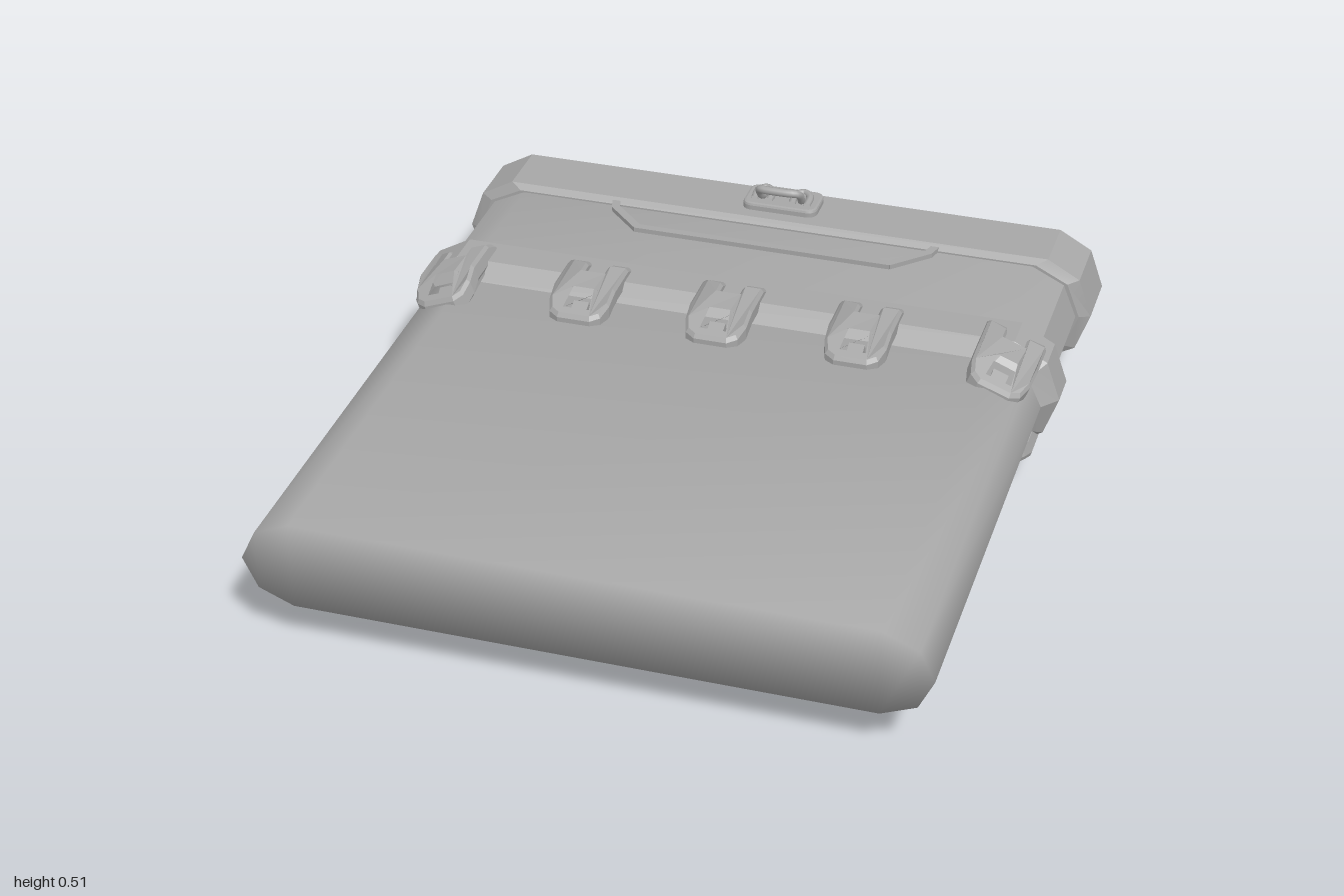
import * as THREE from 'three';
import { toCreasedNormals } from 'three/addons/utils/BufferGeometryUtils.js';

const CENTER_Y = 0.255;

// Ten-sided section with chamfered ends
function section(w, h) {
  const a = [w - 0.04, h * 0.68], b = [w - 0.135, h];
  return [[w, 0], a, b, [-b[0], h], [-a[0], a[1]], [-w, 0],
    [-a[0], -a[1]], [-b[0], -h], [b[0], -h], [a[0], -a[1]]];
}

// Closed loft through [z, halfWidth, halfHeight] stations, back to front
function loft(stations) {
  const pos = [], idx = [], n = 10, last = (stations.length - 1) * n;
  for (const [z, w, h] of stations) for (const [x, y] of section(w, h)) pos.push(x, y, z);
  for (let k = 0; k < last; k += n) {
    for (let i = 0; i < n; i++) {
      const j = (i + 1) % n;
      idx.push(k + i, k + j, k + n + j, k + i, k + n + j, k + n + i);
    }
  }
  // end faces, in strips between upper and lower edge
  const cap = (a, b, c) => idx.push(last + a, last + b, last + c, a, c, b);
  for (let u = 0; u < 5; u++) {
    const lo = (n - u) % n, lo2 = n - u - 1;
    if (u < 4) cap(u, u + 1, lo2);
    else cap(u, u + 1, lo);
    if (u > 0 && u < 4) cap(u, lo2, lo);
  }
  const g = new THREE.BufferGeometry();
  g.setAttribute('position', new THREE.Float32BufferAttribute(pos, 3));
  g.setIndex(idx);
  g.computeVertexNormals();
  return g;
}

// Forked latch plate with a window, bent down at both ends
function latchGeometry() {
  const half = [[0.037, 0.335], [0.037, 0.38], [0.037, 0.412], [0.082, 0.412], [0.082, 0.38],
    [0.082, 0.26], [0.08, 0.21], [0.068, 0.172], [0.045, 0.158]];
  const pts = [...half, ...half.map(([x, y]) => [-x, y]).reverse()].map(p => new THREE.Vector2(...p));
  const shape = new THREE.Shape(pts);
  shape.holes.push(new THREE.Path([[-0.03, 0.25], [0.03, 0.25], [0.038, 0.178], [-0.038, 0.178]]
    .map(p => new THREE.Vector2(...p))));
  const g = new THREE.ExtrudeGeometry(shape, {
    depth: 0.034, bevelThickness: 0.01, bevelSize: 0.008, bevelSegments: 1
  });
  g.rotateX(-Math.PI / 2);
  const p = g.attributes.position;
  for (let i = 0; i < p.count; i++) {
    const z = p.getZ(i);
    const drop = Math.max(0, z + 0.26) * 0.38 + Math.max(0, -0.38 - z) * 0.5;
    p.setY(i, p.getY(i) + 0.147 - drop);
  }
  g.computeVertexNormals();
  return g;
}

export function createModel() {
  const model = new THREE.Group();
  const grey = new THREE.MeshStandardMaterial({ name: 'plain grey', color: 0xa6a6a6 });
  const add = (parent, name, geometry, x = 0, y = 0, z = 0) => {
    const m = new THREE.Mesh(geometry, grey);
    m.name = name;
    m.position.set(x, y, z);
    parent.add(m);
    return m;
  };
  const tube = (points, r, tension = 0.5) => new THREE.TubeGeometry(
    new THREE.CatmullRomCurve3(points.map(p => new THREE.Vector3(...p)), false, 'catmullrom', tension),
    40, r, 8);

  // Main case and the stepped parts behind it
  const core = new THREE.Group();
  core.name = 'case';
  core.position.y = CENTER_Y;
  model.add(core);
  add(core, 'mainBody', loft([[-0.32, 0.91, 0.125], [1, 0.91, 0.125]]));
  add(core, 'neck', toCreasedNormals(loft([[-0.82, 0.91, 0.145], [-0.44, 0.91, 0.145]]), 0.7));
  add(core, 'collar', toCreasedNormals(loft([[-0.463, 0.93, 0.15], [-0.45, 0.952, 0.167],
    [-0.345, 0.952, 0.167], [-0.295, 0.91, 0.125]]), 0.3));
  add(core, 'endCap', toCreasedNormals(loft([[-1, 0.952, 0.167], [-0.818, 0.952, 0.167],
    [-0.803, 0.92, 0.15]]), 0.3));

  // Fittings, the same on the upper and lower side
  const latch = latchGeometry();
  const tongue = new THREE.BoxGeometry(0.045, 0.03, 0.045);
  const baseShape = new THREE.Shape();
  const bw = 0.105, bh = 0.055, br = 0.025;
  baseShape.moveTo(-bw + br, -bh).lineTo(bw - br, -bh).quadraticCurveTo(bw, -bh, bw, -bh + br)
    .lineTo(bw, bh - br).quadraticCurveTo(bw, bh, bw - br, bh)
    .lineTo(-bw + br, bh).quadraticCurveTo(-bw, bh, -bw, bh - br)
    .lineTo(-bw, -bh + br).quadraticCurveTo(-bw, -bh, -bw + br, -bh);
  const base = new THREE.ExtrudeGeometry(baseShape, {
    depth: 0.014, bevelThickness: 0.008, bevelSize: 0.008, bevelSegments: 2
  });
  base.rotateX(-Math.PI / 2);

  for (const side of ['upper', 'lower']) {
    const set = new THREE.Group();
    set.name = side + 'Fittings';
    set.position.y = CENTER_Y;
    if (side === 'lower') set.rotation.z = Math.PI;
    model.add(set);

    // Five latches, the outer two leaning over the chamfer
    for (const x of [-0.81, -0.4, 0, 0.4, 0.81]) {
      const g = new THREE.Group();
      g.name = 'latch';
      const lean = Math.abs(x) > 0.6 ? -0.36 * Math.sign(x) : 0;
      // pivot at the latch plate, not at the case centre
      const r = 0.165;
      g.position.set(x + Math.sin(lean) * r, lean ? 0.145 - Math.cos(lean) * r : 0, 0);
      g.rotation.z = lean;
      add(g, 'latchPlate', latch);
      add(g, 'latchTongue', tongue, 0, 0.132, -0.213).rotation.x = 0.36;
      set.add(g);
    }

    // Raised trapezoid rib on the neck
    const rib = [[-0.485, -0.81], [-0.475, -0.775], [-0.38, -0.68], [0.38, -0.68], [0.475, -0.775], [0.485, -0.81]];
    rib.slice(1).forEach(([x, z], i) => {
      const [px, pz] = rib[i], dx = x - px, dz = z - pz;
      const bar = add(set, 'ribBar', new THREE.BoxGeometry(Math.hypot(dx, dz) + 0.008, 0.03, 0.024),
        (x + px) / 2, 0.144, (z + pz) / 2);
      bar.rotation.y = -Math.atan2(dz, dx);
    });

    // Hasp: base plate, two staples and a raised ring
    add(set, 'haspBase', base, 0, 0.167, -0.92);
    for (const s of [-1, 1]) {
      add(set, 'haspStaple', tube([[s * 0.08, 0.19, -0.885], [s * 0.08, 0.198, -0.925], [s * 0.057, 0.2, -0.945],
        [s * 0.035, 0.198, -0.925], [s * 0.035, 0.19, -0.885]], 0.011));
    }
    add(set, 'haspRing', tube([[-0.057, 0.192, -0.93], [-0.06, 0.197, -0.9], [-0.062, 0.222, -0.878],
      [-0.056, 0.24, -0.858], [-0.03, 0.243, -0.85], [0.03, 0.243, -0.85], [0.056, 0.24, -0.858],
      [0.062, 0.222, -0.878], [0.06, 0.197, -0.9], [0.057, 0.192, -0.93]], 0.012));
  }
  return model;
}
